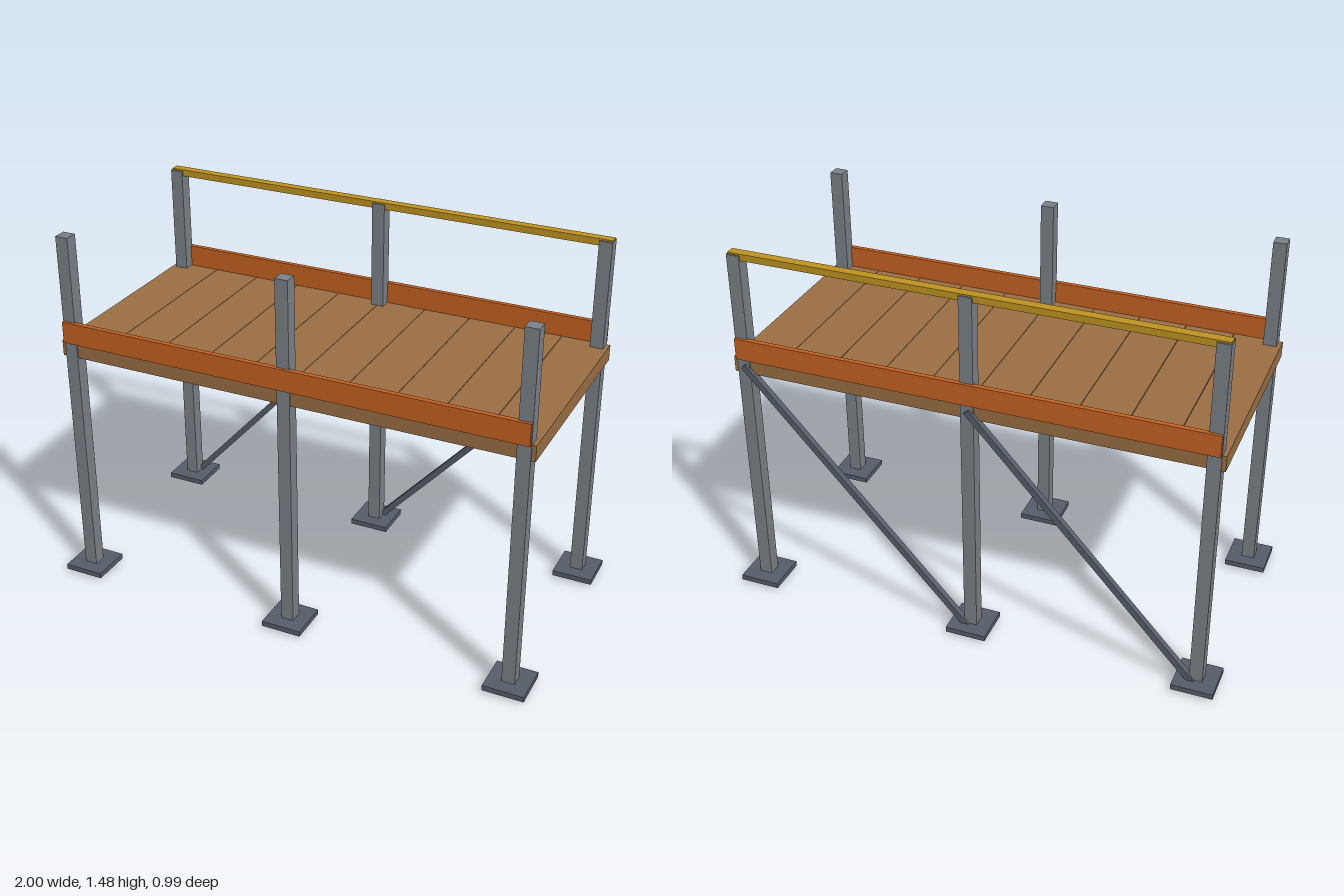
import * as THREE from 'three';

const material = (name, color) => {
  const m = new THREE.MeshStandardMaterial({ color });
  m.name = name;
  return m;
};

export function createModel() {
  const model = new THREE.Group();
  model.name = 'scaffoldPlatform';

  const steel = material('steel grey', 0x7b8288);
  const darkSteel = material('dark steel', 0x575e6a);
  const wood = material('deck wood', 0x9b6f44);
  const orange = material('toe board orange', 0xc66222);
  const yellow = material('rail yellow', 0xc09420);

  // Box given by its lower and upper corners
  const box = (name, mat, [x0, y0, z0], [x1, y1, z1]) => {
    const mesh = new THREE.Mesh(new THREE.BoxGeometry(x1 - x0, y1 - y0, z1 - z0), mat);
    mesh.position.set((x0 + x1) / 2, (y0 + y1) / 2, (z0 + z1) / 2);
    mesh.name = name;
    model.add(mesh);
    return mesh;
  };

  // Posts on square base plates
  const postX = 0.918, postZ = 0.414, half = 0.026, foot = 0.082;
  for (const x of [-postX, 0, postX]) {
    for (const z of [-postZ, postZ]) {
      box('post', steel, [x - half, 0.014, z - half], [x + half, 1.48, z + half]);
      box('basePlate', darkSteel, [x - foot, 0.012, z - foot], [x + foot, 0.034, z + foot]);
    }
  }

  // Deck: a solid bed with separate planks laid across it
  const deckX = 0.96, deckZ = 0.435, planks = 10, gap = 0.002;
  box('deckBed', wood, [-deckX, 0.985, -deckZ], [deckX, 1.042, deckZ]);
  const pitch = (2 * deckX) / planks;
  for (let i = 0; i < planks; i++) {
    const x = -deckX + i * pitch;
    box('deckPlank', wood,
      [x + (i ? gap / 2 : 0), 1.042, -deckZ],
      [x + pitch - (i < planks - 1 ? gap / 2 : 0), 1.048, deckZ]);
  }

  // Toe boards along both long sides
  box('frontToeBoard', orange, [-0.942, 1.048, 0.432], [0.942, 1.135, 0.452]);
  box('backToeBoard', orange, [-0.942, 1.048, -0.452], [0.942, 1.135, -0.432]);

  // Guard rail along the back
  box('guardRail', yellow, [-0.942, 1.459, -0.433], [0.942, 1.486, -0.396]);

  // Diagonal braces on the back
  for (const x of [-postX, 0]) {
    const from = new THREE.Vector2(x, 0.01), to = new THREE.Vector2(x + postX, 1.02);
    const span = to.clone().sub(from);
    const brace = new THREE.Mesh(new THREE.BoxGeometry(span.length(), 0.025, 0.025), darkSteel);
    brace.position.set((from.x + to.x) / 2, (from.y + to.y) / 2, -0.4375);
    brace.rotation.z = span.angle();
    brace.name = 'diagonalBrace';
    model.add(brace);
  }

  return model;
}
